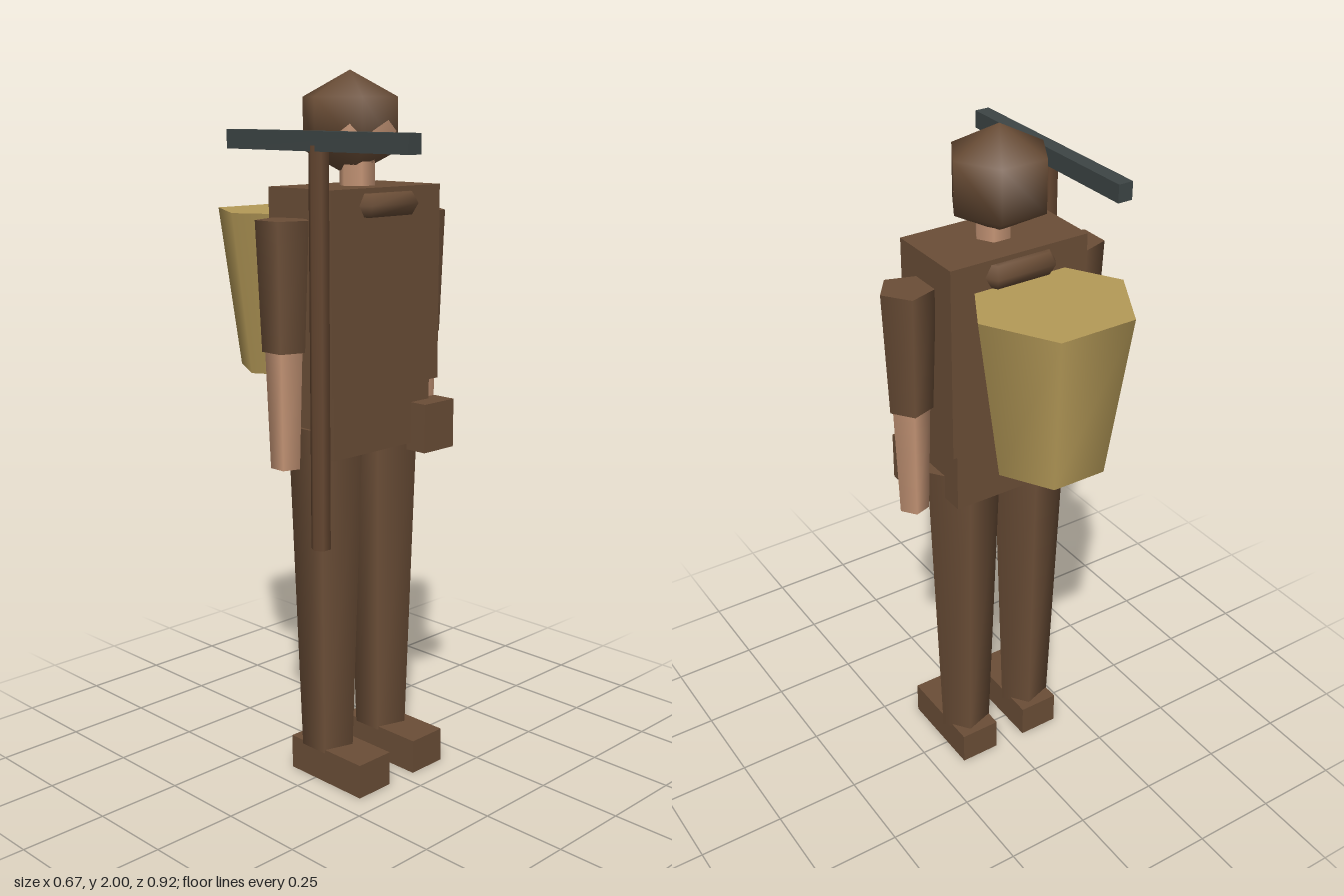
import * as THREE from 'three';

const mat = (name, color) => {
  const m = new THREE.MeshStandardMaterial({ color });
  m.name = name;
  return m;
};

export function createModel() {
  const model = new THREE.Group();
  model.name = 'traveller';
  const cloth = mat('brown cloth', 0x6b4e37);
  const skin = mat('skin', 0xc49475);
  const straw = mat('straw', 0xb59a58);
  const wood = mat('dark wood', 0x644630);
  const iron = mat('iron', 0x3d4545);
  const CX = -0.0075, CZ = -0.006;

  const add = (name, geometry, material, x, y, z) => {
    const mesh = new THREE.Mesh(geometry, material);
    mesh.name = name;
    mesh.position.set(x, y, z);
    model.add(mesh);
    return mesh;
  };
  const box = (name, m, w, h, d, x, y, z) => add(name, new THREE.BoxGeometry(w, h, d), m, x, y, z);
  // Tapered column from y0 to y1 with its first corner on +x
  const column = (name, m, rTop, rBottom, y0, y1, sides, x, z) =>
    add(name, new THREE.CylinderGeometry(rTop, rBottom, y1 - y0, sides, 1, false, Math.PI / 2),
      m, x, (y0 + y1) / 2, z);

  // Body
  box('torso', cloth, 0.417, 0.545, 0.242, CX, 1.4225, CZ);
  box('hips', cloth, 0.376, 0.18, 0.214, CX, 1.062, CZ);
  box('beltPouch', cloth, 0.121, 0.14, 0.075, 0.167, 1.02, 0.117);
  const collar = new THREE.TorusGeometry(0.14, 0.036, 6, 6).rotateX(Math.PI / 2);
  add('collar', collar, cloth, CX, 1.65, CZ);

  // Limbs
  for (const [side, s] of [['left', 1], ['right', -1]]) {
    const armX = CX + s * 0.265, legX = CX + s * 0.11;
    column(side + 'Sleeve', cloth, 0.075, 0.061, 1.27, 1.617, 5, armX, CZ);
    column(side + 'Forearm', skin, 0.053, 0.042, 0.95, 1.275, 5, armX, CZ);
    column(side + 'Leg', cloth, 0.109, 0.077, 0.09, 1.045, 5, legX, CZ);
    box(side + 'Boot', cloth, 0.121, 0.1, 0.28, legX, 0.05, 0.041);
  }

  // Head, with the face showing through the hood
  column('neck', skin, 0.05, 0.05, 1.65, 1.8, 6, CX, 0);
  const face = new THREE.SphereGeometry(0.121, 5, 2, Math.PI);
  face.scale(1, 1.2, 1);
  add('face', face, skin, CX, 1.84, -0.004);
  const hood = new THREE.SphereGeometry(0.154, 6, 3);
  hood.scale(1, 0.92, 1);
  add('hood', hood, cloth, CX, 1.858, -0.027);

  // Back basket
  column('basket', straw, 0.22, 0.157, 1.16, 1.617, 6, CX, -0.268);

  // Pick
  column('pickHandle', wood, 0.027, 0.027, 0.75, 1.81, 6, -0.272, 0.128);
  box('pickHead', iron, 0.044, 0.05, 0.66, -0.272, 1.82, 0.127);

  return model;
}
